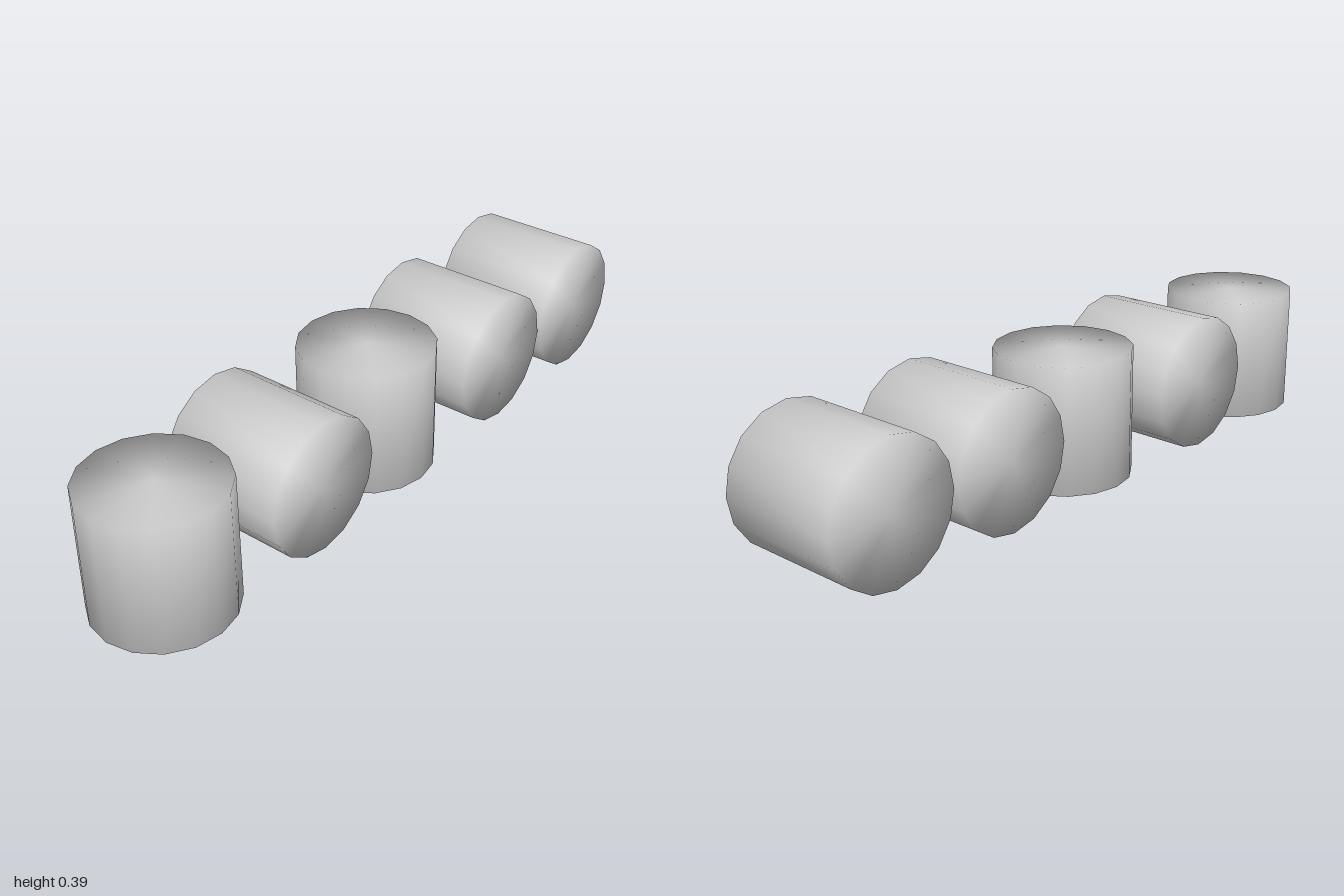
import * as THREE from 'three';
import { mergeVertices } from 'three/addons/utils/BufferGeometryUtils.js';

const RADIUS = 0.195;
const HEIGHT = 0.367;
const SPACING = 0.4025;

// 16-sided drum whose rim normals are shared by the side and the caps
function drumGeometry() {
  let g = new THREE.CylinderGeometry(RADIUS, RADIUS, HEIGHT, 16, 1);
  g.deleteAttribute('uv');
  g.deleteAttribute('normal');
  g = mergeVertices(g, 1e-4);
  g.computeVertexNormals();
  return g;
}

export function createModel() {
  const model = new THREE.Group();
  model.name = 'drumRow';
  const grey = new THREE.MeshStandardMaterial({ color: 0xcccccc });
  grey.name = 'light grey';
  const geometry = drumGeometry();

  // Row of five: upright ones stand on an end, the others lie along z
  const upright = [true, false, true, false, false];
  upright.forEach((stands, i) => {
    const drum = new THREE.Mesh(geometry, grey);
    drum.name = (stands ? 'standingDrum' : 'lyingDrum') + (i + 1);
    drum.position.set((i - 2) * SPACING, stands ? HEIGHT / 2 : RADIUS + 0.001, 0);
    if (!stands) drum.rotation.x = Math.PI / 2;
    model.add(drum);
  });
  return model;
}
